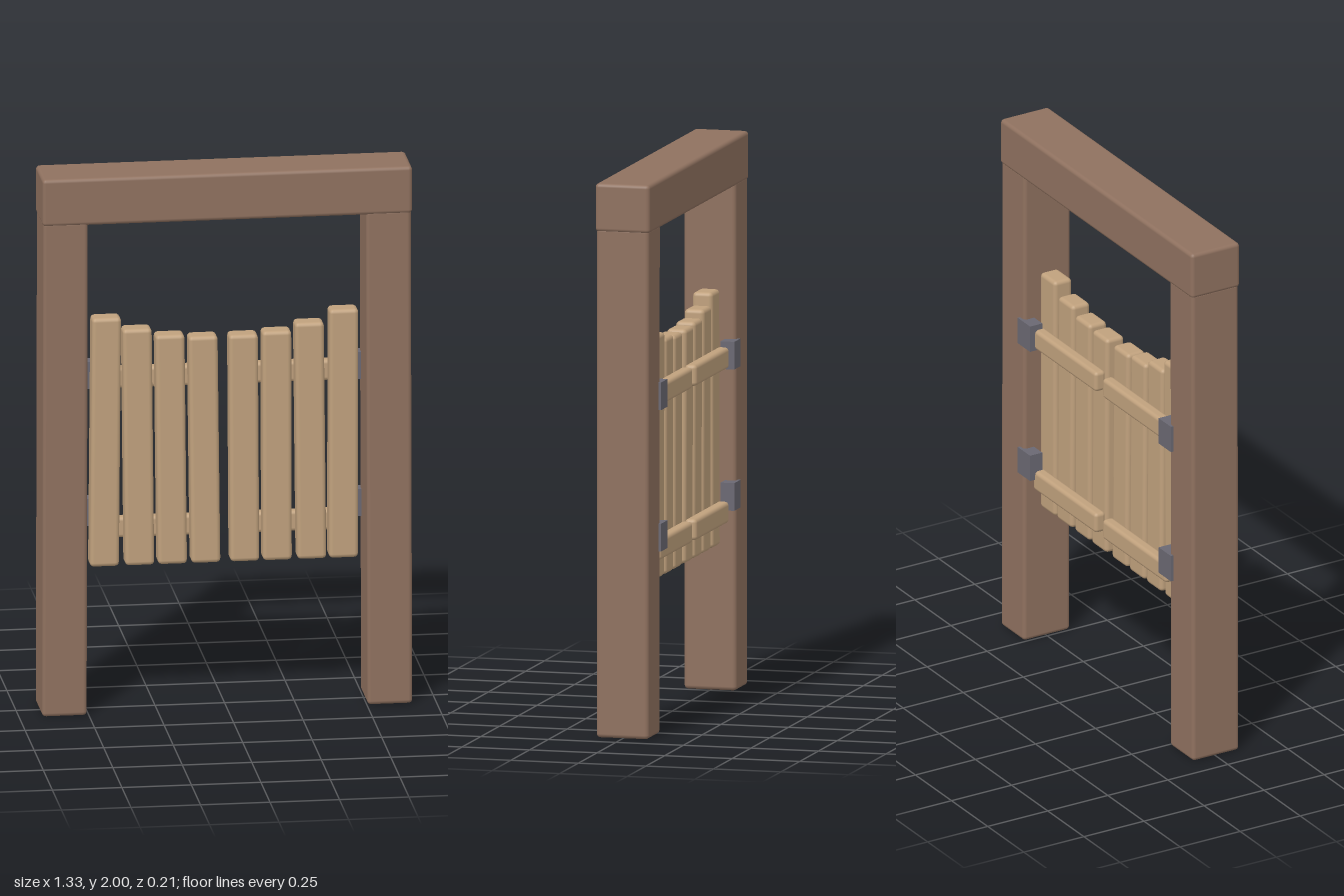
import * as THREE from 'three';
import { RoundedBoxGeometry } from 'three/addons/geometries/RoundedBoxGeometry.js';

const material = (name, color) => {
  const m = new THREE.MeshStandardMaterial({ color });
  m.name = name;
  return m;
};

export function createModel() {
  const group = new THREE.Group();
  const frameWood = material('dark frame wood', 0x8f715f);
  const plankWood = material('light plank wood', 0xc0a17d);
  const iron = material('hinge iron', 0x6a6872);

  // Beveled beam between two corners; lean slides the top sideways against the bottom
  function beam(name, mat, [x0, x1], [y0, y1], [z0, z1], bevel, lean = 0) {
    const h = y1 - y0;
    const geo = bevel
      ? new RoundedBoxGeometry(x1 - x0, h, z1 - z0, 2, bevel)
      : new THREE.BoxGeometry(x1 - x0, h, z1 - z0);
    const p = geo.attributes.position;
    for (let i = 0; i < p.count; i++) p.setX(i, p.getX(i) + lean * (p.getY(i) / h + 0.5));
    const mesh = new THREE.Mesh(geo, mat);
    mesh.name = name;
    mesh.position.set((x0 + x1) / 2, (y0 + y1) / 2, (z0 + z1) / 2);
    group.add(mesh);
  }

  // Frame: two posts and the lintel
  beam('rightPost', frameWood, [-0.668, -0.507], [0, 1.84], [-0.096, 0.098], 0.014, 0.004);
  beam('leftPost', frameWood, [0.502, 0.664], [0, 1.84], [-0.096, 0.098], 0.014, -0.005);
  beam('lintel', frameWood, [-0.667, 0.663], [1.825, 2], [-0.1, 0.102], 0.014);

  // Planks: left edge at the bottom, lean of the top, top height
  const planks = [
    [-0.487, 0.008, 1.455], [-0.36, -0.009, 1.41], [-0.242, -0.009, 1.383], [-0.122, -0.01, 1.374],
    [0.018, -0.005, 1.374], [0.135, -0.002, 1.383], [0.259, -0.009, 1.41], [0.373, 0.001, 1.455],
  ];
  for (const [x, lean, top] of planks)
    beam('plank', plankWood, [x, x + 0.105], [0.53, top], [-0.045, 0.03], 0.015, lean);

  // Back rails and hinges, upper and lower on each door
  for (const [railY, hingeY] of [[0.615, 0.66], [1.172, 1.17]]) {
    beam('rightDoorRail', plankWood, [-0.46, -0.018], [railY, railY + 0.077], [-0.085, -0.04], 0.014);
    beam('leftDoorRail', plankWood, [0.025, 0.46], [railY, railY + 0.077], [-0.085, -0.04], 0.014);
    beam('rightHinge', iron, [-0.532, -0.447], [hingeY, hingeY + 0.1], [-0.106, -0.055], 0);
    beam('leftHinge', iron, [0.442, 0.528], [hingeY, hingeY + 0.1], [-0.106, -0.055], 0);
  }
  return group;
}
